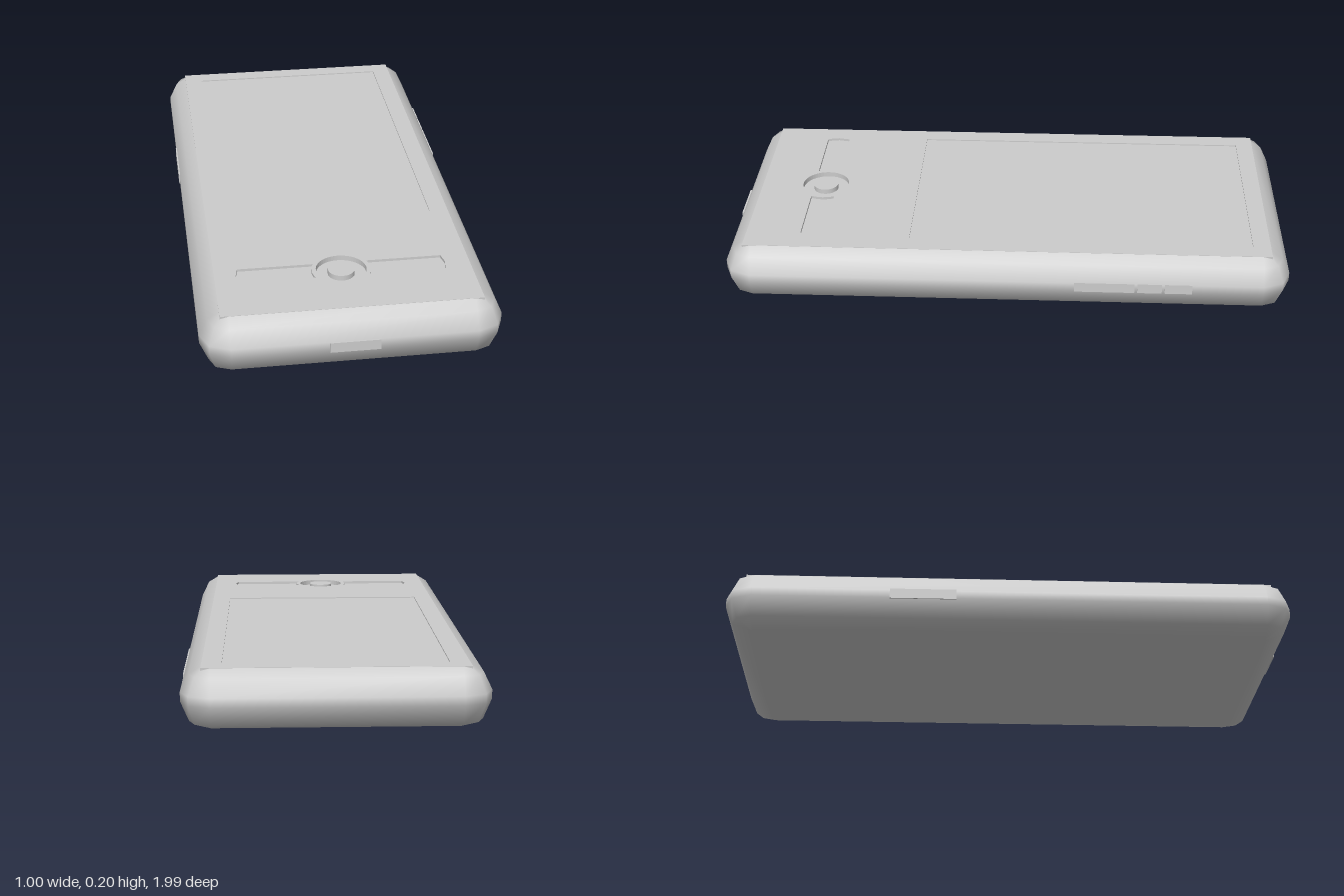
import * as THREE from 'three';

const grey = () => new THREE.MeshStandardMaterial({ color: 0xcccccc, side: THREE.DoubleSide });
const TOP = 0.203;    // height of the front glass
const KEY_Z = 0.692;  // row of keys below the screen
const KEY_X = -0.005;

function add(group, name, geometry, x = 0, y = 0, z = 0) {
  const mesh = new THREE.Mesh(geometry, grey());
  mesh.name = name;
  mesh.position.set(x, y, z);
  group.add(mesh);
  return mesh;
}

// Rounded shell: stacked loops whose corner radius follows the edge profile
function shellGeometry() {
  const profile = [[0, 0], [0.025, 0.069], [0.09, 0.097], [0.12, 0.097], [0.178, 0.069], [TOP - 0.001, 0.03]];
  const corners = [[1, 1], [-1, 1], [-1, -1], [1, -1]];
  const steps = 2, n = 4 * (steps + 1);
  const pos = [], index = [];
  for (const [y, r] of profile) {
    corners.forEach(([sx, sz], c) => {
      for (let i = 0; i <= steps; i++) {
        const a = (c + i / steps) * Math.PI / 2;
        pos.push(sx * 0.4 + r * Math.cos(a), y, sz * 0.897 + r * Math.sin(a));
      }
    });
  }
  for (let k = 0; k < profile.length - 1; k++) {
    for (let i = 0; i < n; i++) {
      const a = k * n + i, b = k * n + (i + 1) % n;
      index.push(a, a + n, b, b, a + n, b + n);
    }
  }
  // Flat back
  const centre = pos.length / 3;
  pos.push(0, 0, 0);
  for (let i = 0; i < n; i++) index.push(centre, i, (i + 1) % n);
  const g = new THREE.BufferGeometry();
  g.setAttribute('position', new THREE.Float32BufferAttribute(pos, 3));
  g.setIndex(index);
  g.computeVertexNormals();
  return g;
}

// Bar key outline with an inner end hollowed around the round button
function keyOutline(side, Type) {
  const h = 0.042, r = 0.1, t = Math.asin(h / r), p = [];
  const at = (x, y) => p.push(new THREE.Vector2(KEY_X + side * x, -KEY_Z + y));
  for (let i = 0; i <= 8; i++) {
    const a = t - 2 * t * i / 8;
    at(r * Math.cos(a), r * Math.sin(a));
  }
  at(0.345, -h);
  at(0.353, 0);
  at(0.345, h);
  return new Type(p);
}

// Extrudes a plan outline upward from y = 0
function slab(shape, depth) {
  return new THREE.ExtrudeGeometry(shape, { depth, bevelEnabled: false, curveSegments: 24 }).rotateX(-Math.PI / 2);
}

function rectPath(Type, x0, y0, x1, y1) {
  return new Type([[x0, y0], [x1, y0], [x1, y1], [x0, y1]].map(([x, y]) => new THREE.Vector2(x, y)));
}

export function createModel() {
  const phone = new THREE.Group();
  phone.name = 'phone';
  add(phone, 'shell', shellGeometry());

  // Front panel with openings for the screen, keys and round button
  const panel = rectPath(THREE.Shape, -0.43, -0.927, 0.43, 0.927);
  panel.holes.push(rectPath(THREE.Path, -0.365, -0.345, 0.365, 0.865));
  for (const side of [-1, 1]) panel.holes.push(keyOutline(side, THREE.Path));
  panel.holes.push(new THREE.Path().absarc(KEY_X, -KEY_Z, 0.085, 0, Math.PI * 2, true));
  add(phone, 'frontPanel', slab(panel, 0.02), 0, TOP - 0.02, 0);

  // Recess floor, screen and keys
  add(phone, 'recessFloor', new THREE.BoxGeometry(0.84, 0.02, 1.84), 0, 0.175, 0);
  add(phone, 'screen', new THREE.BoxGeometry(0.73, 0.012, 1.21), 0, 0.193, -0.26);
  for (const side of [-1, 1]) {
    add(phone, side > 0 ? 'leftKey' : 'rightKey', slab(keyOutline(side, THREE.Shape), 0.01), 0, 0.184, 0);
  }
  add(phone, 'roundButton', new THREE.CylinderGeometry(0.045, 0.045, 0.033, 32), KEY_X, TOP - 0.0165, KEY_Z);

  // Buttons along the two long edges: [name, side, z start, z end]
  const edgeButtons = [
    ['volumeButton', 1, -0.45, -0.24],
    ['middleButton', 1, -0.545, -0.46],
    ['upperButton', 1, -0.65, -0.555],
    ['oppositeButton', -1, -0.42, -0.19],
  ];
  for (const [name, side, z0, z1] of edgeButtons) {
    add(phone, name, new THREE.BoxGeometry(0.03, 0.036, z1 - z0), side * 0.485, 0.105, (z0 + z1) / 2);
  }

  // Connector cover on the bottom end
  add(phone, 'connectorCover', new THREE.BoxGeometry(0.165, 0.036, 0.03), -0.003, 0.102, 0.985);
  return phone;
}
